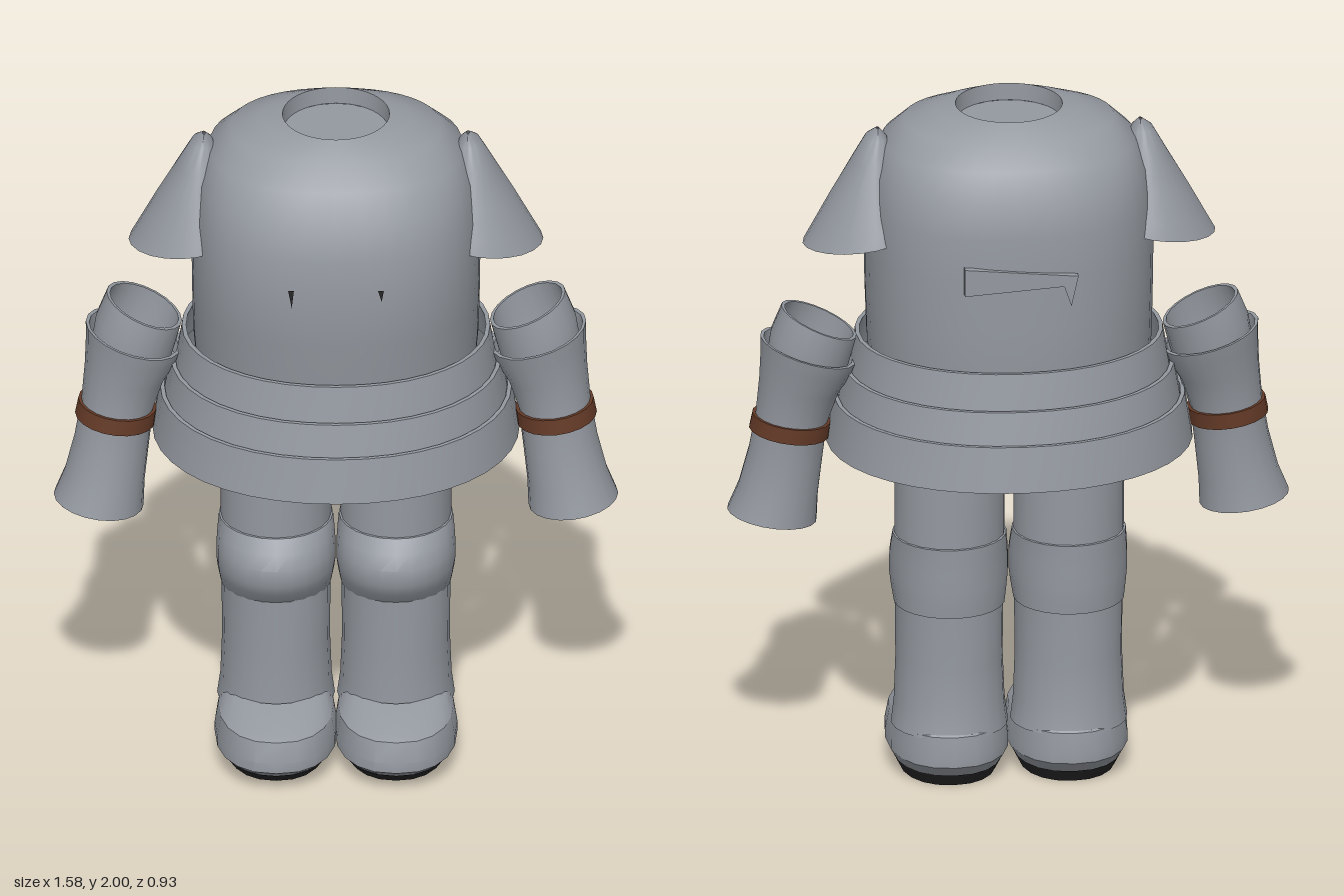
import * as THREE from 'three';
import { toCreasedNormals } from 'three/addons/utils/BufferGeometryUtils.js';

const mat = (name, color) => {
  const m = new THREE.MeshStandardMaterial({ color, side: THREE.DoubleSide });
  m.name = name;
  return m;
};

// One cross-section: centre, radii, squareness n and tilt about z
const ring = (x, y, z, rx, rz, n = 2, tilt = 0) => ({ x, y, z, rx, rz, n, tilt });

// Skin joining cross-sections listed from bottom to top
function loft(rings, segments = 20, crease = 0.6) {
  const pos = [], index = [];
  const pow = (v, n) => Math.sign(v) * Math.abs(v) ** (2 / n);
  for (const r of rings) {
    for (let j = 0; j < segments; j++) {
      const a = (j / segments) * Math.PI * 2;
      const u = r.rx * pow(Math.cos(a), r.n), w = r.rz * pow(Math.sin(a), r.n);
      pos.push(r.x + u * Math.cos(r.tilt), r.y + u * Math.sin(r.tilt), r.z + w);
    }
  }
  for (let i = 0; i < rings.length - 1; i++) {
    for (let j = 0; j < segments; j++) {
      const k = (j + 1) % segments;
      const a = i * segments + j, b = a + segments;
      const c = i * segments + k, d = c + segments;
      index.push(a, b, c, b, d, c);
    }
  }
  const g = new THREE.BufferGeometry();
  g.setAttribute('position', new THREE.Float32BufferAttribute(pos, 3));
  g.setIndex(index);
  return toCreasedNormals(g, crease);
}

// Open tube with wall thickness t
function shell(rings, t, segments) {
  const inner = rings.map((r) => ({ ...r, rx: r.rx - t, rz: r.rz - t })).reverse();
  return loft([...rings, ...inner, rings[0]], segments);
}

export function createModel() {
  const model = new THREE.Group();
  const steel = mat('steel grey', 0x9499a0);
  const leather = mat('leather brown', 0x643a27);
  const rubber = mat('sole black', 0x262628);

  const add = (parent, name, geometry, material = steel) => {
    const m = new THREE.Mesh(geometry, material);
    m.name = name;
    parent.add(m);
    return m;
  };

  // Breastplate: domed body with a round neck opening
  add(model, 'breastplate', loft([
    ring(0, 1.15, 0, 0.385, 0.33, 2.2),
    ring(0, 1.32, 0, 0.4, 0.345, 2.2),
    ring(0, 1.45, 0.01, 0.403, 0.356, 2.3),
    ring(0, 1.6, 0.015, 0.405, 0.36, 2.4),
    ring(0, 1.72, 0.01, 0.4, 0.354, 2.4),
    ring(0, 1.82, 0.005, 0.385, 0.334, 2.4),
    ring(0, 1.9, 0, 0.355, 0.285, 2.3),
    ring(0, 1.96, 0, 0.295, 0.222, 2.2),
    ring(0, 1.99, 0, 0.21, 0.17, 2),
    ring(0, 2.0, 0, 0.15, 0.152, 2),
    ring(0, 1.95, 0, 0.147, 0.15, 2),
  ], 40));
  const neck = add(model, 'neckFloor', new THREE.CircleGeometry(0.15, 20));
  neck.rotation.x = -Math.PI / 2;
  neck.position.y = 1.95;

  // Two small slits on the chest
  for (const [x, y, h] of [[-0.127, 1.61, 0.055], [0.125, 1.62, 0.035]]) {
    const s = new THREE.Shape();
    s.moveTo(-0.008, h / 2);
    s.lineTo(0.002, -h / 2);
    s.lineTo(0.008, h / 2);
    add(model, 'chestSlit', new THREE.ShapeGeometry(s), rubber).position.set(x, y, 0.372);
  }

  // Wedge-shaped clasp on the back
  const clasp = new THREE.Shape();
  clasp.moveTo(-0.16, 1.64);
  clasp.lineTo(-0.16, 1.56);
  clasp.lineTo(0.12, 1.58);
  clasp.lineTo(0.14, 1.52);
  clasp.lineTo(0.16, 1.61);
  const back = add(model, 'backClasp', new THREE.ExtrudeGeometry(clasp, { depth: 0.022, bevelEnabled: false }));
  back.rotation.y = Math.PI;
  back.position.z = -0.333;

  // Three flared waist bands, each outside the one above
  for (const [y0, y1, x0, x1, z0, z1] of [
    [1.22, 1.325, 0.45, 0.432, 0.385, 0.365],
    [1.13, 1.225, 0.48, 0.463, 0.425, 0.404],
    [1.005, 1.135, 0.515, 0.493, 0.464, 0.442],
  ]) {
    add(model, 'waistBand', shell([
      ring(0, y0, 0, x0, z0, 2.1), ring(0, y1, 0, x1, z1, 2.1),
    ], 0.012, 40));
  }

  for (const s of [1, -1]) {
    const side = s > 0 ? 'left' : 'right';

    // Shoulder guard, open underneath
    const guard = (x, y, rx, rz, n, t) => ring(s * x, y, 0, rx, rz, n, -s * t);
    add(model, side + 'ShoulderGuard', loft([
      guard(0.39, 1.645, 0.165, 0.155, 1.8, 0.2),
      guard(0.39, 1.64, 0.195, 0.182, 1.8, 0.2),
      guard(0.39, 1.68, 0.17, 0.165, 1.8, 0.2),
      guard(0.39, 1.76, 0.115, 0.125, 1.9, 0.15),
      guard(0.385, 1.85, 0.06, 0.085, 2, 0.1),
      guard(0.375, 1.915, 0.03, 0.05, 2, 0),
      guard(0.37, 1.94, 0.004, 0.01, 2, 0),
    ], 24, 0.9));

    // Arm: flared forearm tube, upper cuff and leather strap
    const arm = new THREE.Group();
    arm.name = side + 'Arm';
    model.add(arm);
    const cut = (x, y, z, r, t) => ring(s * x, y, z, r, r, 2, s * t);
    add(arm, 'forearm', shell([
      cut(0.665, 0.782, 0.025, 0.127, 0.14),
      cut(0.648, 0.86, 0.02, 0.113, 0.14),
      cut(0.628, 0.97, 0.012, 0.105, 0.13),
      cut(0.612, 1.08, 0.004, 0.102, 0.13),
      cut(0.592, 1.18, -0.004, 0.114, 0.2),
      cut(0.573, 1.25, -0.01, 0.132, 0.26),
      cut(0.567, 1.29, -0.012, 0.14, 0.29),
    ], 0.01, 20));
    add(arm, 'upperCuff', shell([
      cut(0.575, 1.24, -0.014, 0.115, 0.35),
      cut(0.562, 1.3, -0.016, 0.12, 0.41),
      cut(0.537, 1.375, -0.02, 0.115, 0.41),
    ], 0.01, 20));
    add(arm, 'strap', shell([
      cut(0.619, 1.035, 0.007, 0.113, 0.13),
      cut(0.612, 1.08, 0.004, 0.111, 0.13),
    ], 0.012, 20), leather);

    // Leg: thigh, knee guard, shin, boot and sole
    const leg = new THREE.Group();
    leg.name = side + 'Leg';
    leg.position.x = s * 0.168;
    model.add(leg);
    const slice = (y, rx, rz, z, n) => ring(0, y, z, rx, rz, n);
    add(leg, 'thigh', loft([
      slice(0.68, 0.155, 0.152, -0.005), slice(1.0, 0.155, 0.152, -0.005),
      slice(1.2, 0.152, 0.15, -0.005), slice(1.2, 0.001, 0.001, -0.005),
    ]));
    add(leg, 'kneeGuard', loft([
      slice(0.515, 0.14, 0.14, 0),
      slice(0.515, 0.156, 0.157, -0.003),
      slice(0.56, 0.163, 0.177, 0.013),
      slice(0.595, 0.167, 0.186, 0.021),
      slice(0.645, 0.167, 0.186, 0.021),
      slice(0.685, 0.164, 0.174, 0.009),
      slice(0.722, 0.16, 0.16, -0.006),
      slice(0.722, 0.14, 0.14, -0.006),
    ], 24));
    add(leg, 'shin', loft([
      slice(0.15, 0.165, 0.162, 0),
      slice(0.22, 0.156, 0.153, 0.005),
      slice(0.35, 0.151, 0.15, 0.008),
      slice(0.53, 0.153, 0.152, 0.008),
    ]));
    add(leg, 'boot', loft([
      slice(0.025, 0.145, 0.2, 0.065, 2.2),
      slice(0.07, 0.172, 0.253, 0.08, 2.3),
      slice(0.1, 0.172, 0.253, 0.08, 2.3),
      slice(0.158, 0.162, 0.24, 0.075, 2.3),
      slice(0.168, 0.155, 0.225, 0.07, 2.2),
      slice(0.2, 0.14, 0.15, 0.015),
    ], 20, 0.5));
    add(leg, 'sole', loft([
      slice(0, 0.001, 0.001, 0.065),
      slice(0, 0.135, 0.185, 0.062, 2.2),
      slice(0.04, 0.156, 0.222, 0.07, 2.2),
    ]), rubber);
  }
  return model;
}
